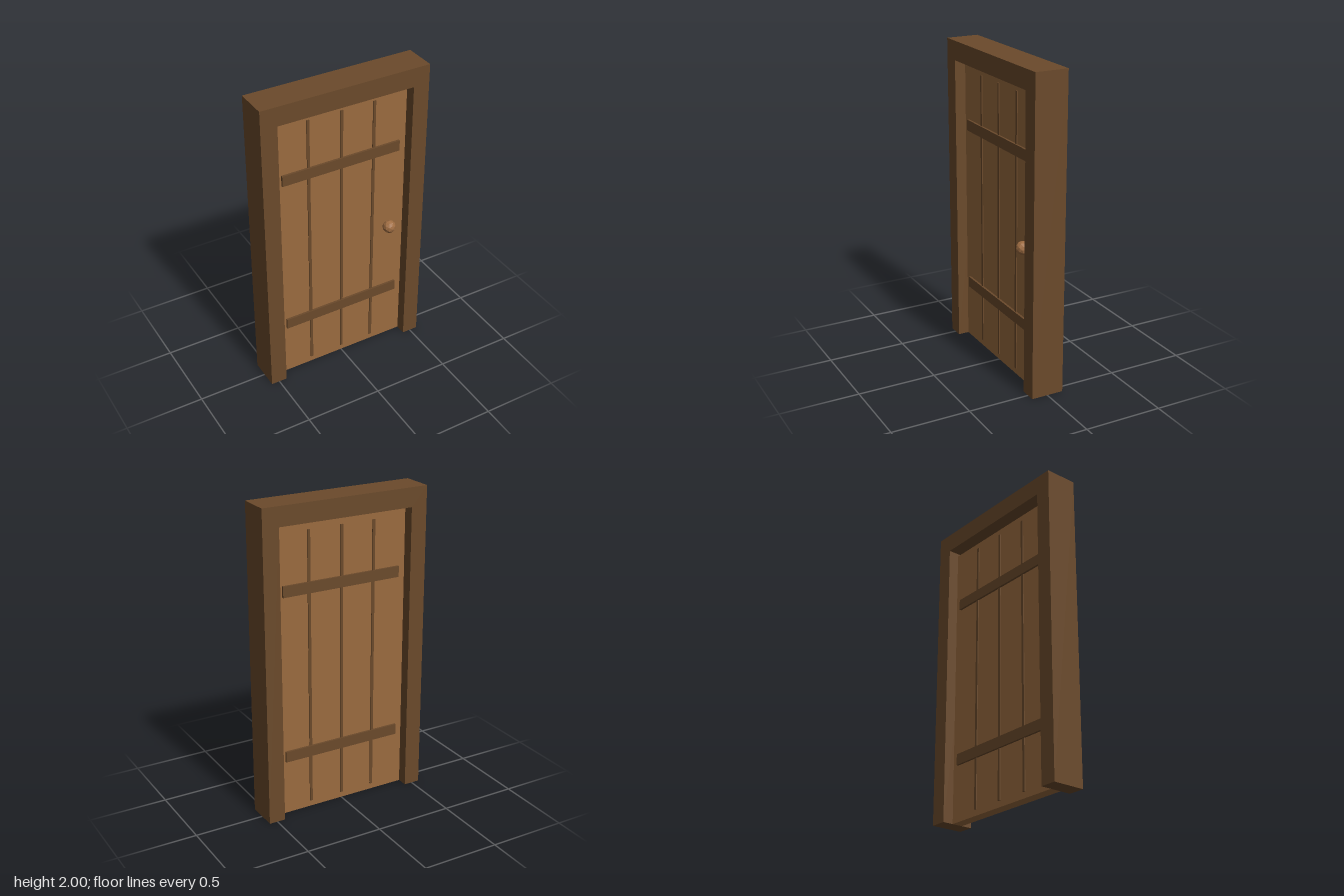
import * as THREE from 'three';

export function createModel() {
  const darkWood = new THREE.MeshStandardMaterial({ color: 0x6b4a2b });
  darkWood.name = 'darkWood';
  const doorWood = new THREE.MeshStandardMaterial({ color: 0x9a6b3f });
  doorWood.name = 'doorWood';
  // The knob gets its own flat-shaded copy of the door wood
  const knobWood = new THREE.MeshStandardMaterial({ color: 0x9f6d42 });
  knobWood.name = 'knobWood';

  const model = new THREE.Group();
  model.name = 'door';

  const add = (name, geometry, material, x = 0, y = 0, z = 0, parent = model) => {
    const mesh = new THREE.Mesh(geometry, material);
    mesh.name = name;
    mesh.position.set(x, y, z);
    parent.add(mesh);
    return mesh;
  };

  const outerX = 0.553, innerX = 0.447, depth = 0.21;
  const doorHeight = 1.86, doorThickness = 0.07;

  // Frame: two posts and a lintel in one outline
  const outline = new THREE.Shape([
    [-outerX, 0], [-innerX, 0], [-innerX, 1.878], [innerX, 1.878],
    [innerX, 0], [outerX, 0], [outerX, 2], [-outerX, 2],
  ].map(([x, y]) => new THREE.Vector2(x, y)));
  const frame = new THREE.ExtrudeGeometry(outline, { depth, bevelEnabled: false });
  add('frame', frame, darkWood, 0, 0, -depth / 2);

  // Door panel, leaving a narrow gap under the lintel
  add('doorPanel', new THREE.BoxGeometry(innerX * 2, doorHeight, doorThickness),
    doorWood, 0, doorHeight / 2, 0);

  // Plank seams and cross battens on both faces
  const seam = new THREE.BoxGeometry(0.018, 1.78, 0.006);
  const batten = new THREE.BoxGeometry(0.8, 0.07, 0.014);
  for (const side of [1, -1]) {
    const face = new THREE.Group();
    face.name = side > 0 ? 'frontTrim' : 'backTrim';
    model.add(face);
    for (const x of [-0.222, 0, 0.222]) {
      add('plankSeam', seam, darkWood, x, 0.93, side * (doorThickness / 2 + 0.003), face);
    }
    for (const y of [0.395, 1.468]) {
      add('batten', batten, darkWood, 0, y, side * (doorThickness / 2 + 0.007), face);
    }
  }

  // Faceted knob on the front only (polyhedron normals are smooth, so flatten them)
  const knob = new THREE.IcosahedronGeometry(0.043, 1);
  knob.computeVertexNormals();
  add('knob', knob, knobWood, 0.338, 0.895, 0.057);

  return model;
}
